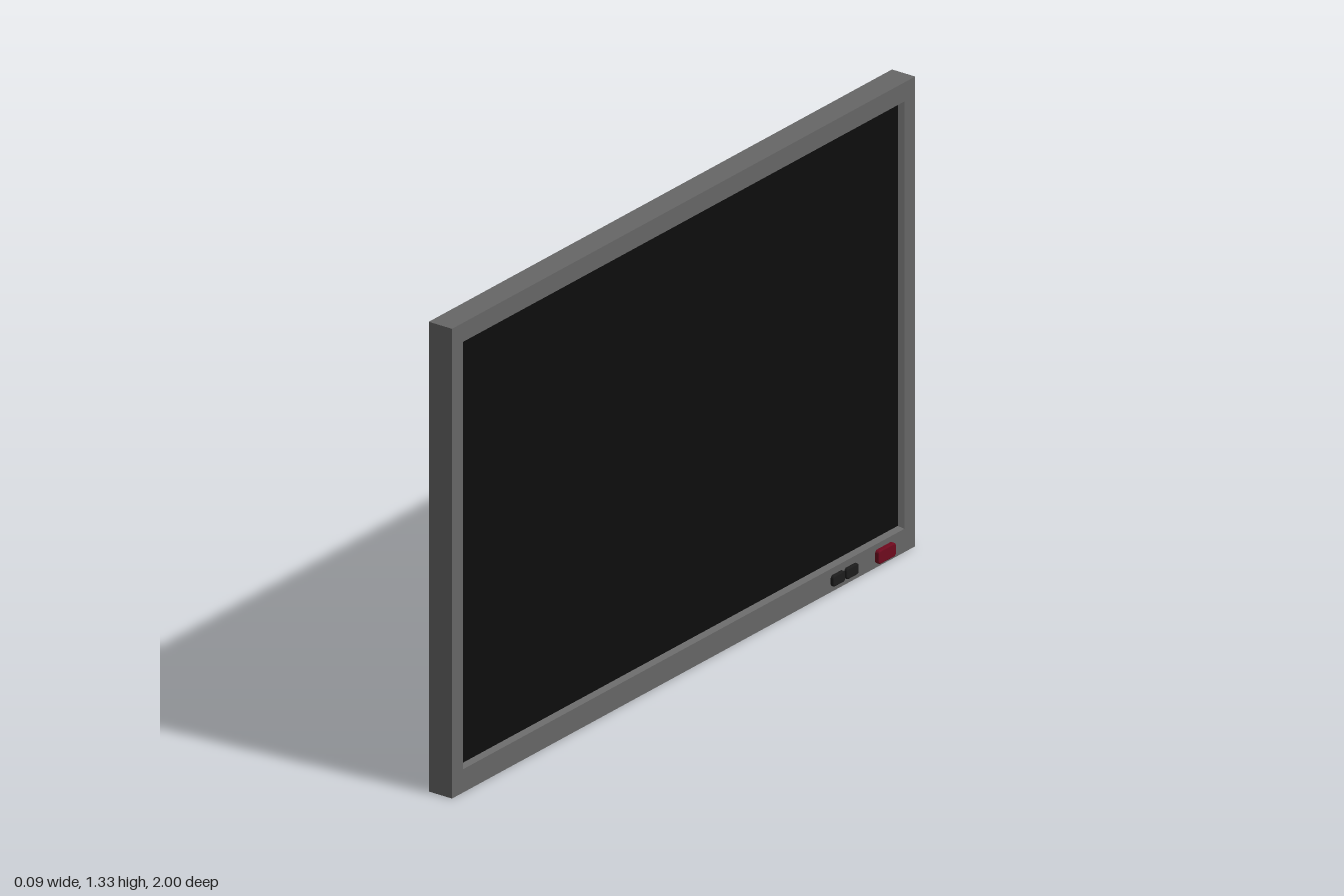
import * as THREE from 'three';

const mat = (color) => new THREE.MeshStandardMaterial({ color });

// Loft through rectangular sections [x, halfWidth, bottom, top]
function loftRects(sections) {
  const rings = sections.map(([x, h, y0, y1]) => [[x, y0, h], [x, y0, -h], [x, y1, -h], [x, y1, h]]);
  const pos = [];
  for (let i = 0; i < rings.length - 1; i++) {
    for (let j = 0; j < 4; j++) {
      const k = (j + 1) % 4;
      const a = rings[i][j], b = rings[i][k], c = rings[i + 1][k], d = rings[i + 1][j];
      pos.push(...a, ...b, ...c, ...a, ...c, ...d);
    }
  }
  const geo = new THREE.BufferGeometry();
  geo.setAttribute('position', new THREE.Float32BufferAttribute(pos, 3));
  geo.computeVertexNormals();
  return geo;
}

// Rounded, bevelled push button standing out towards +x
function buttonGeometry(width, height, depth) {
  const bevel = 0.003, r = 0.005;
  const w = width / 2 - bevel, h = height / 2 - bevel;
  const s = new THREE.Shape();
  s.absarc(w - r, h - r, r, 0, Math.PI / 2);
  s.absarc(r - w, h - r, r, Math.PI / 2, Math.PI);
  s.absarc(r - w, r - h, r, Math.PI, Math.PI * 1.5);
  s.absarc(w - r, r - h, r, Math.PI * 1.5, Math.PI * 2);
  const geo = new THREE.ExtrudeGeometry(s, {
    depth: depth - bevel, bevelEnabled: true, bevelThickness: bevel,
    bevelSize: bevel, bevelSegments: 2, curveSegments: 4,
  });
  return geo.rotateY(Math.PI / 2);
}

export function createModel() {
  const group = new THREE.Group();
  const add = (name, geo, material, x, y, z) => {
    const mesh = new THREE.Mesh(geo, material);
    mesh.name = name;
    mesh.position.set(x, y, z);
    group.add(mesh);
  };
  const BACK = -0.045, FRONT = 0.03, RECESS = 0.017, TOP = 1.33;
  const casing = mat(0x666666), black = mat(0x1c1c1c);

  // Casing sides, front frame and the sloped lip down to the screen
  add('frame', loftRects([
    [BACK, 1, 0, TOP],
    [FRONT, 1, 0, TOP],
    [FRONT, 0.953, 0.066, 1.276],
    [RECESS, 0.942, 0.075, 1.267],
  ]), casing, 0, 0, 0);

  add('backPanel', new THREE.PlaneGeometry(2, TOP).rotateY(-Math.PI / 2), casing, BACK, TOP / 2, 0);
  add('screen', new THREE.PlaneGeometry(1.884, 1.192).rotateY(Math.PI / 2), mat(0x0d0d0d), RECESS, 0.671, 0);

  // Controls on the lower edge
  add('powerButton', buttonGeometry(0.074, 0.038, 0.013), mat(0x6e0a1e), FRONT, 0.031, -0.864);
  for (const z of [-0.661, -0.72]) {
    add('controlButton', buttonGeometry(0.052, 0.031, 0.009), black, FRONT, 0.031, z);
  }
  return group;
}
